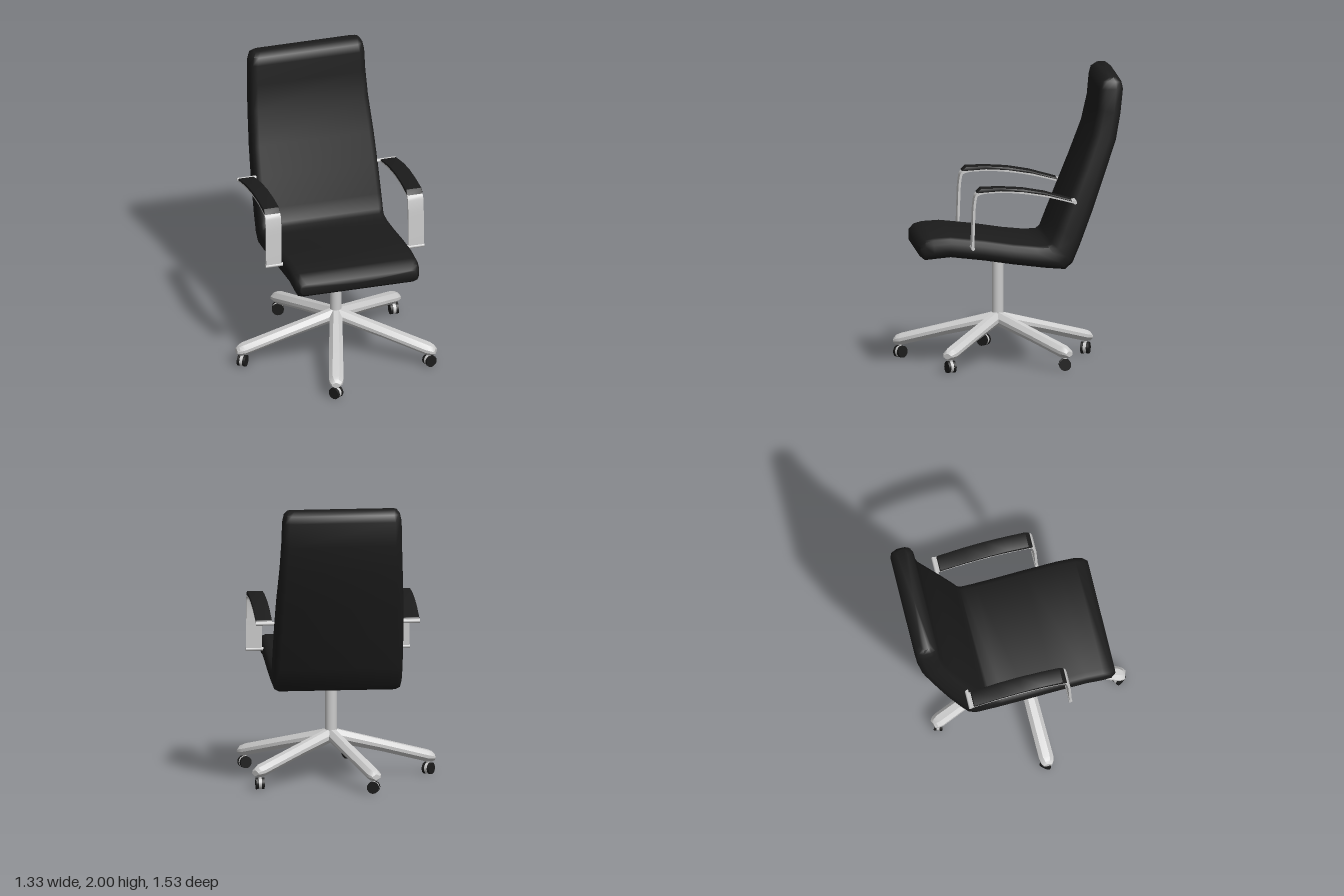
import * as THREE from 'three';
import { toCreasedNormals } from 'three/addons/utils/BufferGeometryUtils.js';

const metal = new THREE.MeshStandardMaterial({ color: 0xcccccc });
const black = new THREE.MeshStandardMaterial({ color: 0x1c1c1c });
const CX = 0.055; // chair axis
const CZ = 0.07;

function part(name, geometry, material, parent) {
  const mesh = new THREE.Mesh(geometry, material);
  mesh.name = name;
  parent.add(mesh);
  return mesh;
}

// Loft of rounded-rectangle sections [zTop, yTop, zBottom, yBottom, halfWidth]
function loft(sections, bevelWidth, bevelFraction, steps) {
  const pos = [];
  const index = [];
  const n = 4 * (steps + 1);
  for (const [zt, yt, zb, yb, w] of sections) {
    for (let c = 0; c < 4; c++) {
      for (let k = 0; k <= steps; k++) {
        const a = (c - 1 + k / steps) * Math.PI / 2;
        const su = c < 2 ? 1 : -1;
        const sv = c === 1 || c === 2 ? 1 : -1;
        const u = su * (w - bevelWidth) + Math.cos(a) * bevelWidth;
        const s = 0.5 + sv * (0.5 - bevelFraction) + Math.sin(a) * bevelFraction;
        pos.push(u, yb + (yt - yb) * s, zb + (zt - zb) * s);
      }
    }
  }
  const last = sections.length - 1;
  for (let i = 0; i < last; i++) {
    for (let j = 0; j < n; j++) {
      const a = i * n + j, b = i * n + (j + 1) % n;
      index.push(a, b, b + n, a, b + n, a + n);
    }
  }
  // end caps
  for (const i of [0, last]) {
    const [zt, yt, zb, yb] = sections[i];
    const centre = pos.length / 3;
    pos.push(0, (yt + yb) / 2, (zt + zb) / 2);
    for (let j = 0; j < n; j++) {
      const a = i * n + j, b = i * n + (j + 1) % n;
      if (i === 0) index.push(centre, b, a);
      else index.push(centre, a, b);
    }
  }
  const g = new THREE.BufferGeometry();
  g.setAttribute('position', new THREE.Float32BufferAttribute(pos, 3));
  g.setIndex(index);
  g.computeVertexNormals();
  return g;
}

// Side profile of upper and lower [z, y] edges, extruded across x
function sideExtrude(outline, width, bevel = 0) {
  const shape = new THREE.Shape(outline.map(([z, y]) => new THREE.Vector2(z, y)));
  const depth = width - 2 * bevel;
  const g = new THREE.ExtrudeGeometry(shape, {
    depth, bevelEnabled: bevel > 0, bevelSize: bevel, bevelOffset: -bevel,
    bevelThickness: bevel, bevelSegments: 2,
  });
  g.translate(0, 0, -depth / 2);
  g.rotateY(-Math.PI / 2);
  return toCreasedNormals(g, 0.6);
}

// Outline of a strip of constant thickness following a path
function strip(path, thickness) {
  const curve = new THREE.SplineCurve(path.map(([z, y]) => new THREE.Vector2(z, y)));
  const one = [], two = [];
  for (let i = 0; i <= 28; i++) {
    const p = curve.getPoint(i / 28);
    const t = curve.getTangent(i / 28).multiplyScalar(thickness / 2);
    one.push([p.x - t.y, p.y + t.x]);
    two.unshift([p.x + t.y, p.y - t.x]);
  }
  return [...one, ...two];
}

function addArm(side, parent) {
  const arm = new THREE.Group();
  arm.name = side > 0 ? 'leftArmrest' : 'rightArmrest';
  arm.position.x = CX + side * 0.507;
  parent.add(arm);
  const frame = strip([[0.29, 0.855], [0.285, 1.03], [0.276, 1.18], [0.245, 1.235],
    [0.1, 1.247], [-0.05, 1.238], [-0.22, 1.212], [-0.41, 1.165]], 0.016);
  part('armFrame', sideExtrude(frame, 0.11), metal, arm);
  const pad = [[0.265, 1.24], [0.235, 1.27], [0.1, 1.272], [-0.05, 1.263], [-0.2, 1.238],
    [-0.385, 1.187], [-0.395, 1.17], [-0.22, 1.213], [-0.05, 1.24], [0.1, 1.248], [0.24, 1.238]];
  part('armPad', sideExtrude(pad, 0.112, 0.006), black, arm);
  // rods joining the frame to the seat shell
  for (const [z, y] of [[0.29, 0.855], [-0.412, 1.165]]) {
    const rod = part('armRod', new THREE.CylinderGeometry(0.013, 0.013, 0.14, 10), metal, arm);
    rod.rotation.z = Math.PI / 2;
    rod.position.set(-side * 0.013, y, z);
  }
}

function addLeg(degrees, parent) {
  const leg = new THREE.Group();
  leg.name = 'baseLeg';
  leg.position.set(CX, 0, CZ);
  leg.rotation.y = Math.PI / 2 - degrees * Math.PI / 180;
  parent.add(leg);
  const beam = loft([
    [0, 0.342, 0, 0.245, 0.042],
    [0.35, 0.25, 0.35, 0.17, 0.048],
    [0.67, 0.167, 0.66, 0.09, 0.05],
    [0.7, 0.155, 0.7, 0.09, 0.042],
    [0.717, 0.137, 0.717, 0.097, 0.03],
  ], 0.026, 0.36, 1);
  part('legBeam', toCreasedNormals(beam, 0.5), metal, leg);

  // swivelling twin-wheel caster
  const caster = new THREE.Group();
  caster.name = 'caster';
  caster.position.set(0, 0.041, 0.672);
  caster.rotation.y = 52 * Math.PI / 180;
  leg.add(caster);
  part('casterStem', new THREE.CylinderGeometry(0.013, 0.013, 0.09, 10), metal, caster).position.y = 0.045;
  for (const [name, x, r, w, material] of [['casterHousing', 0, 0.039, 0.03, metal],
    ['casterWheel', 0.02, 0.041, 0.018, black], ['casterWheel', -0.02, 0.041, 0.018, black]]) {
    const disc = part(name, new THREE.CylinderGeometry(r, r, w, 16), material, caster);
    disc.rotation.z = Math.PI / 2;
    disc.position.x = x;
  }
}

export function createModel() {
  const chair = new THREE.Group();
  chair.name = 'officeChair';

  // one upholstered shell, from the top of the back to the front of the seat
  const shell = loft([
    [-0.645, 2.0, -0.715, 2.0, 0.375],
    [-0.61, 1.975, -0.75, 1.97, 0.397],
    [-0.597, 1.92, -0.76, 1.92, 0.408],
    [-0.585, 1.78, -0.742, 1.75, 0.412],
    [-0.545, 1.6, -0.71, 1.57, 0.42],
    [-0.46, 1.37, -0.62, 1.3, 0.435],
    [-0.38, 1.17, -0.545, 1.08, 0.442],
    [-0.3, 0.97, -0.46, 0.85, 0.445],
    [-0.262, 0.872, -0.41, 0.73, 0.445],
    [-0.235, 0.848, -0.36, 0.682, 0.445],
    [-0.15, 0.845, -0.22, 0.693, 0.445],
    [0, 0.86, 0, 0.72, 0.445],
    [0.2, 0.89, 0.2, 0.75, 0.445],
    [0.43, 0.915, 0.43, 0.776, 0.445],
    [0.55, 0.908, 0.54, 0.765, 0.445],
    [0.605, 0.893, 0.605, 0.757, 0.438],
    [0.638, 0.862, 0.638, 0.782, 0.415],
  ], 0.045, 0.3, 2);
  part('seatShell', toCreasedNormals(shell, 0.9), black, chair).position.x = CX;

  // gas column
  part('column', new THREE.CylinderGeometry(0.04, 0.04, 0.48, 20), metal, chair)
    .position.set(CX, 0.495, CZ - 0.005);

  for (const side of [-1, 1]) addArm(side, chair);
  for (let i = 0; i < 5; i++) addLeg(34 + i * 72, chair);
  return chair;
}
